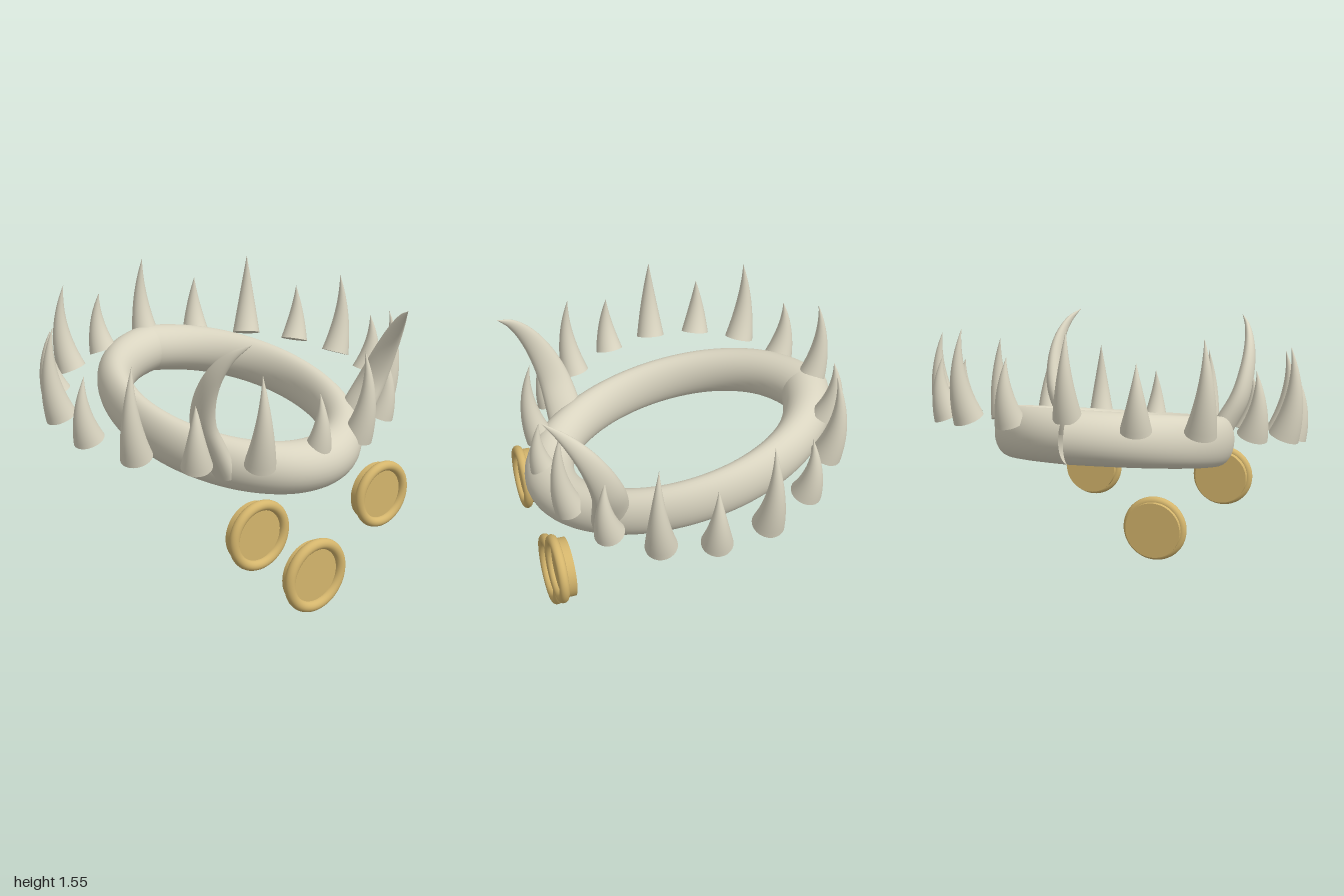
import * as THREE from 'three';

const bone = new THREE.MeshStandardMaterial({ color: 0xd9d4c0, side: THREE.DoubleSide });
bone.name = 'bone';
const gold = new THREE.MeshStandardMaterial({ color: 0xd4b56c });
gold.name = 'gold';

const V = (x, y, z) => new THREE.Vector3(x, y, z);

function add(parent, name, geometry, material) {
  const mesh = new THREE.Mesh(geometry, material);
  mesh.name = name;
  parent.add(mesh);
  return mesh;
}

// Sweeps a tapering ellipse along a curve: ra is the half width along the hint, rb across it
function horn(curve, hint, ra, rb, taper, rings = 16, sides = 24) {
  const pos = [], index = [];
  for (let i = 0; i <= rings; i++) {
    const t = i / rings, c = curve.getPoint(t), T = curve.getTangent(t);
    const A = hint.clone().addScaledVector(T, -T.dot(hint)).normalize();
    const B = T.clone().cross(A);
    const k = Math.max(taper(t), 0.01);
    for (let j = 0; j <= sides; j++) {
      const w = (j / sides) * Math.PI * 2;
      const p = c.clone().addScaledVector(A, Math.cos(w) * ra * k).addScaledVector(B, Math.sin(w) * rb * k);
      pos.push(p.x, p.y, p.z);
    }
  }
  const row = sides + 1;
  for (let i = 0; i < rings; i++) {
    for (let j = 0; j < sides; j++) {
      const a = i * row + j, b = a + 1, d = a + row, e = d + 1;
      index.push(a, b, e, a, e, d);
    }
  }
  // Flat base with its own corners, so the rim stays sharp
  const base = pos.length / 3;
  pos.push(...pos.slice(0, row * 3));
  const c = curve.getPoint(0);
  pos.push(c.x, c.y, c.z);
  for (let j = 0; j < sides; j++) index.push(base + row, base + j + 1, base + j);

  const g = new THREE.BufferGeometry();
  g.setAttribute('position', new THREE.Float32BufferAttribute(pos, 3));
  g.setIndex(index);
  g.computeVertexNormals();
  // Smooth the normals over the seam where each ring closes
  const n = g.attributes.normal;
  for (let i = 0; i <= rings; i++) {
    const a = i * row, b = a + sides;
    const m = V(n.getX(a) + n.getX(b), n.getY(a) + n.getY(b), n.getZ(a) + n.getZ(b)).normalize();
    n.setXYZ(a, m.x, m.y, m.z);
    n.setXYZ(b, m.x, m.y, m.z);
  }
  return g;
}

// Tilted oval path, slightly pointed where its two ends meet at the back
class BandPath extends THREE.Curve {
  getPoint(u, target = new THREE.Vector3()) {
    const t = (u * 2 - 1) * Math.PI;
    const z = 0.015 + 0.68 * Math.cos(t) - 0.035 * Math.exp(-(Math.PI - Math.abs(t)) / 0.25);
    return target.set(0.895 * Math.sin(t), 0.92 - 0.19 * z, z);
  }
}

function medallion(name, x, y, z, radius, tube, back) {
  const g = new THREE.Group();
  g.name = name;
  add(g, 'rim', new THREE.TorusGeometry(radius, tube, 20, 64), gold);
  const disc = add(g, 'disc', new THREE.CylinderGeometry(radius, radius, back, 64), gold);
  disc.rotation.x = Math.PI / 2;
  disc.position.z = -back / 2;
  g.position.set(x, y, z);
  return g;
}

export function createModel() {
  const model = new THREE.Group();
  model.name = 'hornedCrown';

  // Head band, squeezed sideways
  const band = new THREE.TubeGeometry(new BandPath(), 160, 0.13, 32, false);
  band.scale(0.59, 1, 1);
  add(model, 'band', band, bone);

  // Eighteen spikes on a wider oval, alternately short and long
  const spikes = new THREE.Group();
  spikes.name = 'spikes';
  model.add(spikes);
  for (let i = 0; i < 18; i++) {
    const a = (i * Math.PI) / 9, long = i % 2 === 1;
    const length = long ? 0.446 : 0.314;
    const out = V(Math.sin(a), 0, Math.cos(a));
    const foot = V(0.92 * out.x, 0.975 - 0.185 * 0.72 * out.z, 0.72 * out.z);
    const at = (f, o) => foot.clone().addScaledVector(out, o * length).add(V(0, f * length, 0));
    const curve = new THREE.QuadraticBezierCurve3(foot, at(0.5, 0.19), at(1, 0.055));
    const r = long ? 0.078 : 0.076;
    add(spikes, long ? 'longSpike' : 'shortSpike', horn(curve, V(out.z, 0, -out.x), r, r, t => 1 - t), bone);
  }

  // Pair of large tusks curling forward
  for (const s of [1, -1]) {
    const curve = new THREE.CatmullRomCurve3([
      V(0.40 * s, 0.79, 0.495), V(0.47 * s, 0.92, 0.51), V(0.54 * s, 1.06, 0.535),
      V(0.567 * s, 1.2, 0.585), V(0.565 * s, 1.33, 0.655), V(0.535 * s, 1.43, 0.735), V(0.487 * s, 1.492, 0.815),
    ]);
    add(model, s > 0 ? 'leftTusk' : 'rightTusk',
      horn(curve, V(1, 0, 0), 0.062, 0.1, t => 1 - Math.pow(t, 1.6), 32), bone);
  }

  // Hanging medallions
  model.add(
    medallion('leftMedallion', 0.4, 0.55, 0.78, 0.15, 0.025, 0.065),
    medallion('rightMedallion', -0.4, 0.55, 0.78, 0.15, 0.025, 0.065),
    medallion('centreMedallion', 0, 0.2, 0.74, 0.168, 0.028, 0.058),
  );
  return model;
}
